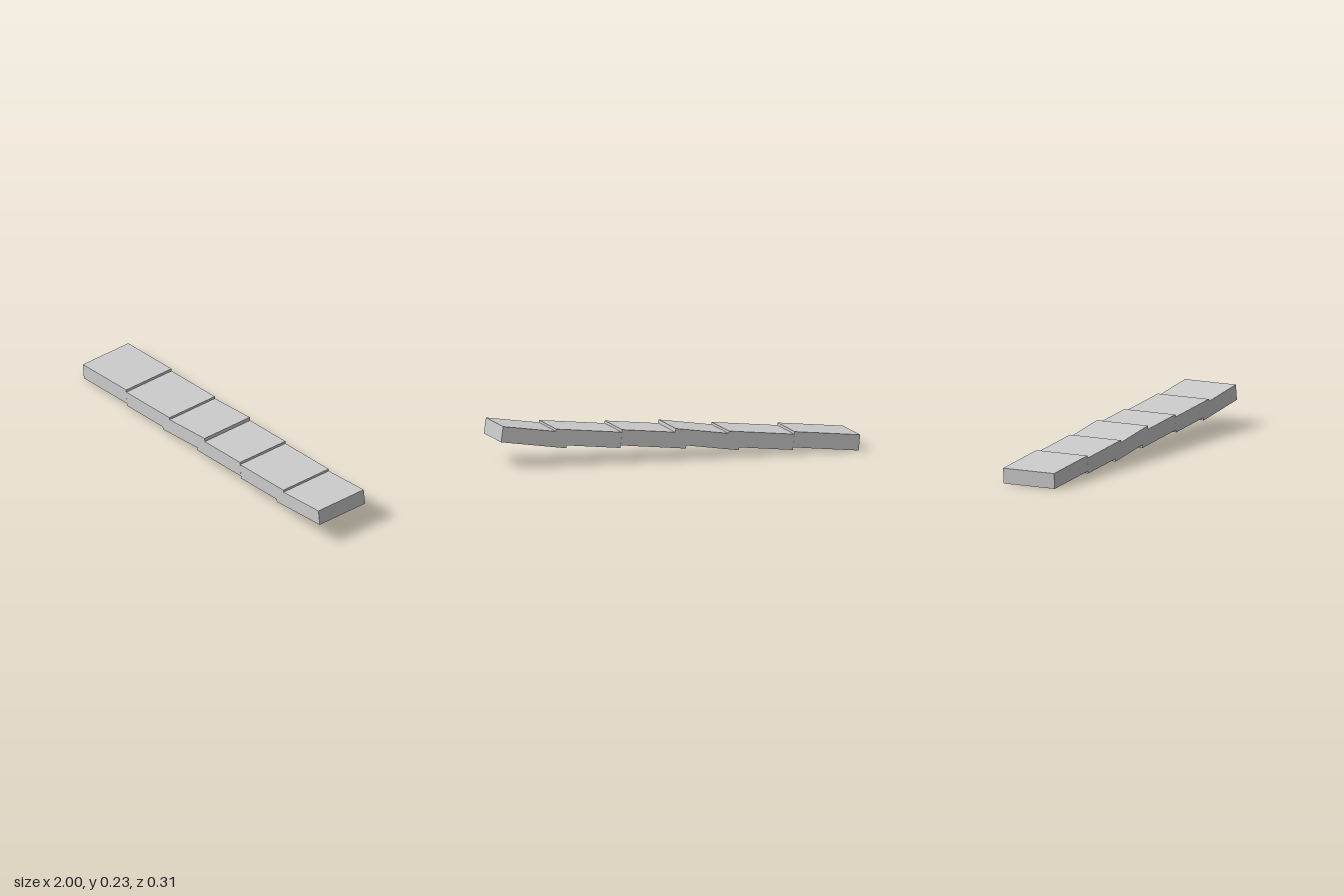
import * as THREE from 'three';

const LENGTH = 0.366, THICK = 0.085, DEPTH = 0.31;

export function createModel() {
  const model = new THREE.Group();
  model.name = 'steppedRamp';
  const material = new THREE.MeshStandardMaterial({ color: 0xcccccc, flatShading: true });

  // Slab with its origin at the lower left edge, so it tilts about that edge
  const slab = new THREE.BoxGeometry(LENGTH, THICK, DEPTH);
  slab.translate(LENGTH / 2, THICK / 2, 0);

  // One run of three slabs: lower left corner x, y and tilt in degrees
  const run = [
    [-0.992, 0, 5.4],
    [-0.626, 0.021, 5.4],
    [-0.325, 0.034, 7.8],
  ];

  // The run repeats once, further along and higher up
  for (let i = 0; i < 2; i++) {
    run.forEach(([x, y, tilt], j) => {
      const mesh = new THREE.Mesh(slab, material);
      mesh.name = `slab${i * run.length + j + 1}`;
      mesh.position.set(x + i * 0.961, y + i * 0.0575, 0);
      mesh.rotation.z = THREE.MathUtils.degToRad(tilt);
      model.add(mesh);
    });
  }
  return model;
}
